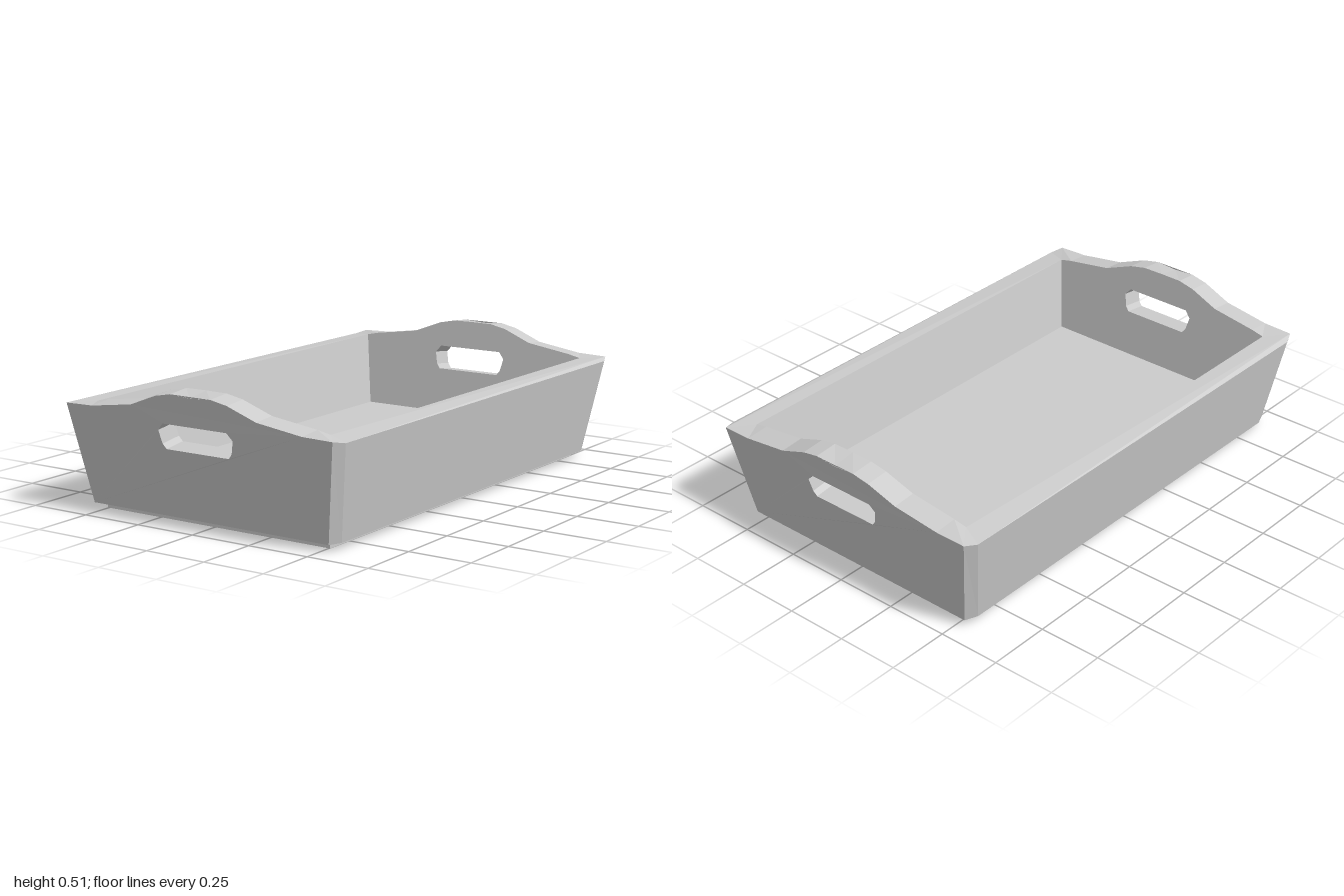
import * as THREE from 'three';

const BASE = 0.026;   // underside of the walls
const RIM = 0.408;    // top of the side walls
const FLOOR = 0.12;   // inner floor level
const LEAN_X = 0.064, LEAN_Z = 0.068; // outward lean from base to rim

const rise = (y) => (y - BASE) / (RIM - BASE);

// Leaning end panel with a wavy top edge and a hand hole
function endPanelGeometry() {
  const half = [[0.59, BASE], [0.59, RIM], [0.47, 0.419], [0.28, 0.446], [0.16, 0.492], [0.09, 0.506]];
  const outline = [...half, [0, 0.507], ...half.map(([x, y]) => [-x, y]).reverse()];
  const shape = new THREE.Shape(outline.map(([x, y]) => new THREE.Vector2(x, y)));

  const grip = [[0.14, 0.299], [0.155, 0.318], [0.167, 0.368], [0.143, 0.395]];
  const hole = [...grip, ...grip.map(([x, y]) => [-x, y]).reverse()];
  shape.holes.push(new THREE.Path(hole.map(([x, y]) => new THREE.Vector2(x, y))));

  const geo = new THREE.ExtrudeGeometry(shape, { depth: 1, bevelEnabled: false });
  const p = geo.attributes.position;
  for (let i = 0; i < p.count; i++) {
    let x = p.getX(i), y = p.getY(i);
    const outer = p.getZ(i) > 0.5;
    const z = (outer ? 0.915 : 0.823) + LEAN_Z * rise(y);
    if (Math.abs(x) > 0.55) {
      // mitred ends follow the corners of the side walls
      x = Math.sign(x) * ((outer ? 0.53 : 0.459) + LEAN_X * rise(y));
    } else if (outer) {
      // cut edges drop slightly outwards; the crest dips in the middle
      y -= y < 0.4 ? 0.012 : x === 0 ? 0.015 : 0.008;
    }
    p.setXYZ(i, x, y, z);
  }
  geo.computeVertexNormals();
  return geo;
}

// Side wall with mitred ends and chamfered outer corners, flaring outwards
function sideWallGeometry() {
  const half = [[0.459, 0.823], [0.53, 0.915], [0.55, 0.865]];
  const plan = [...half, ...half.map(([x, z]) => [x, -z]).reverse()];
  const shape = new THREE.Shape(plan.map(([x, z]) => new THREE.Vector2(x, z)));
  const geo = new THREE.ExtrudeGeometry(shape, { depth: RIM - BASE, bevelEnabled: false });
  geo.rotateX(-Math.PI / 2).translate(0, BASE, 0);
  const p = geo.attributes.position;
  for (let i = 0; i < p.count; i++) {
    const x = p.getX(i), y = p.getY(i), z = p.getZ(i), s = rise(y);
    const drop = x > 0.54 ? 0.01 * s : 0; // rim slopes down to the outside
    p.setXYZ(i, x + LEAN_X * s, y - drop, z + Math.sign(z) * LEAN_Z * s);
  }
  geo.computeVertexNormals();
  return geo;
}

export function createModel() {
  const model = new THREE.Group();
  model.name = 'tray';
  const grey = new THREE.MeshStandardMaterial({ color: 0xcccccc });
  grey.name = 'grey';

  const add = (name, geo, turn = 0) => {
    const mesh = new THREE.Mesh(geo, grey);
    mesh.name = name;
    mesh.rotation.y = turn;
    model.add(mesh);
  };

  // Thick floor between the walls, and a thin base plate below it
  const thick = FLOOR - BASE;
  add('floor', new THREE.BoxGeometry(0.95, thick, 1.68).translate(0, BASE + thick / 2, 0));
  add('basePlate', new THREE.BoxGeometry(1.01, 0.017, 1.74).translate(0, 0.0085, 0));

  const end = endPanelGeometry();
  add('frontPanel', end);
  add('backPanel', end, Math.PI);

  const side = sideWallGeometry();
  add('leftWall', side);
  add('rightWall', side, Math.PI);

  return model;
}
